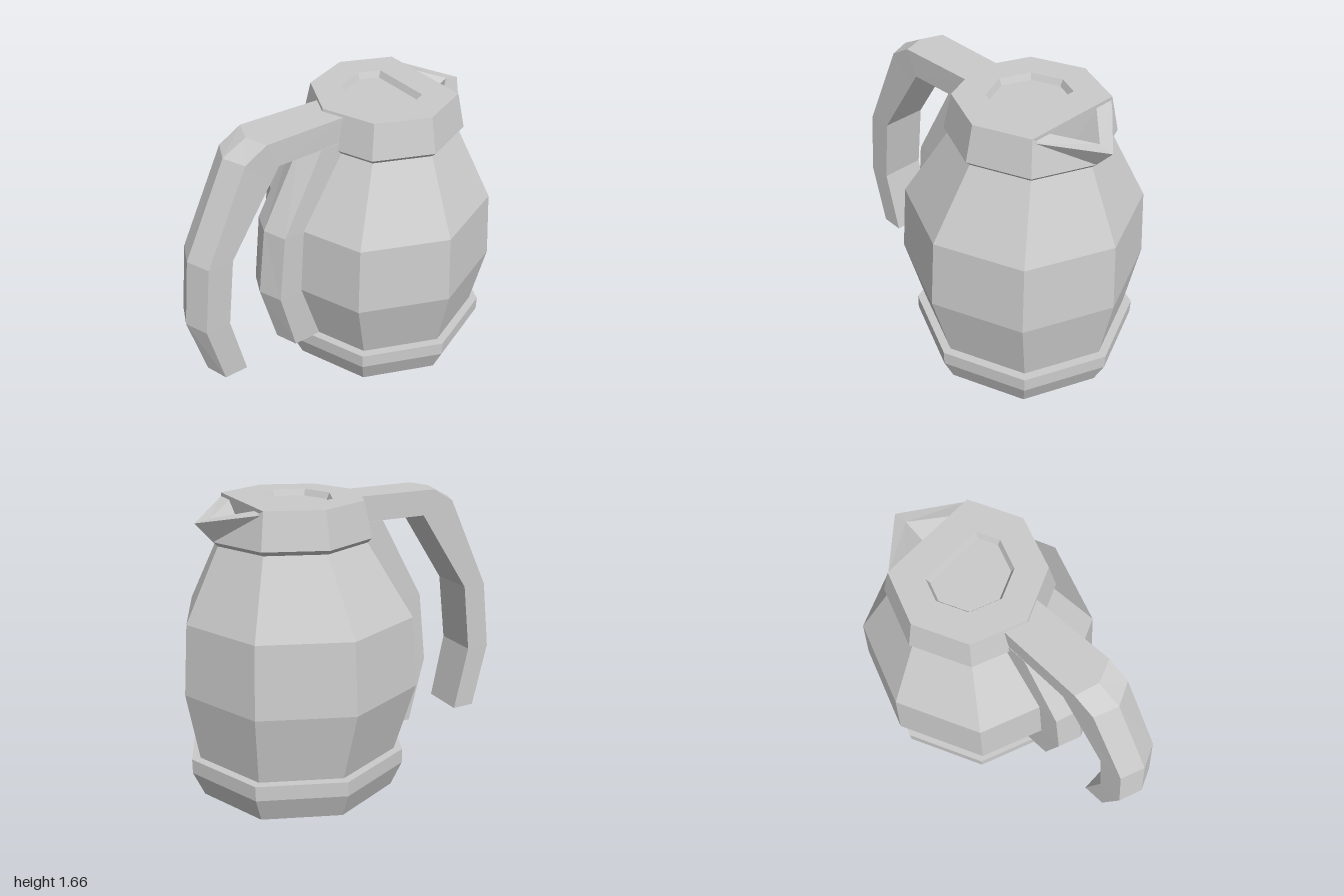
import * as THREE from 'three';

const material = new THREE.MeshStandardMaterial({ color: 0xcccccc, flatShading: true });

function makeMesh(name, geometry) {
  const mesh = new THREE.Mesh(geometry, material);
  mesh.name = name;
  return mesh;
}

// Geometry from a list of triangles, each made of three [x, y, z] corners
function fromTriangles(tris) {
  const g = new THREE.BufferGeometry();
  g.setAttribute('position', new THREE.Float32BufferAttribute(tris.flat(2), 3));
  g.computeVertexNormals();
  return g;
}

// Skin a row of closed rings; some sides may be skipped and ends capped
function loft(rings, { start = false, end = false, skip = [] } = {}) {
  const tris = [];
  const n = rings[0].length;
  for (let i = 0; i < rings.length - 1; i++) {
    const a = rings[i], b = rings[i + 1];
    for (let j = 0; j < n; j++) {
      if (skip.includes(j)) continue;
      const k = (j + 1) % n;
      tris.push([a[j], b[j], b[k]], [a[j], b[k], a[k]]);
    }
  }
  const last = rings[rings.length - 1];
  for (let j = 1; j < n - 1; j++) {
    if (start) tris.push([rings[0][0], rings[0][j], rings[0][j + 1]]);
    if (end) tris.push([last[0], last[j + 1], last[j]]);
  }
  return tris;
}

// Horizontal octagon with a corner pointing to +x
function octagon(cx, y, r) {
  return Array.from({ length: 8 }, (_, i) => {
    const a = (i * Math.PI) / 4;
    return [cx + r * Math.cos(a), y, r * Math.sin(a)];
  });
}

// Five-sided handle section: outer ridge, two shoulders, two inner corners
function gripSection([ridge, shoulder, inner, w]) {
  return [
    [...ridge, 0],
    [...shoulder, -w], [...inner, -w],
    [...inner, w], [...shoulder, w],
  ];
}

export function createModel() {
  const group = new THREE.Group();
  const CX = 0.335;

  // Base and body
  group.add(makeMesh('base', fromTriangles(loft([
    octagon(CX, 0, 0.58), octagon(CX, 0.15, 0.645),
    octagon(CX, 0.235, 0.645), octagon(CX, 0.235, 0.59),
  ], { start: true }))));
  group.add(makeMesh('body', fromTriangles(loft([
    octagon(CX, 0.235, 0.595), octagon(0.305, 0.63, 0.69),
    octagon(0.303, 1.03, 0.66), octagon(CX, 1.435, 0.43),
  ]))));

  // Lid wall, left open where the spout passes through
  const lidBottom = octagon(CX, 1.46, 0.455);
  const lidTop = octagon(CX, 1.66, 0.41);
  group.add(makeMesh('lid', fromTriangles([
    ...loft([octagon(CX, 1.435, 0.43), lidBottom]),
    ...loft([lidBottom, lidTop], { skip: [0, 7] }),
  ])));

  // Lid top with a sunken recess, flat on the spout side
  const recess = (y, r, clip) => {
    const ring = octagon(CX, y, r).slice(2, 7);
    const z = r - (clip - CX) * Math.tan(Math.PI / 8);
    return [[clip, y, z], ...ring, [clip, y, -z]];
  };
  const rim = recess(1.66, 0.235, 0.457);
  const flat = (ring) => ring.map(([x, , z]) => new THREE.Vector2(x, -z));
  const topShape = new THREE.Shape(flat(lidTop.slice(1)));
  topShape.holes.push(new THREE.Path(flat(rim)));
  const top = new THREE.ShapeGeometry(topShape);
  top.rotateX(-Math.PI / 2).translate(0, 1.66, 0);
  group.add(makeMesh('lidTop', top));
  group.add(makeMesh('lidRecess', fromTriangles(
    loft([rim, recess(1.625, 0.218, 0.44)], { end: true }))));

  // Spout: one half, then mirrored in z
  const X = lidTop[1][0];
  const corner = lidTop[1], low = lidBottom[0], lowSide = lidBottom[1];
  const edge = [X, 1.64, corner[2]], tip = [0.885, 1.57, 0];
  const innerEdge = [X, 1.64, 0.17], innerTip = [0.8, 1.587, 0];
  const floor = [X, 1.5, 0], backTop = [X, 1.66, 0];
  const half = [
    [low, corner, lowSide], [low, corner, edge], // lid wall below the spout
    [low, tip, edge], // outer side
    [edge, tip, innerTip], [edge, innerTip, innerEdge], // rim
    [innerEdge, innerTip, floor], // channel
    [floor, backTop, corner], [floor, corner, edge], // back wall
  ];
  const flip = ([x, y, z]) => [x, y, -z];
  const mirrored = half.map(([a, b, c]) => [flip(a), flip(c), flip(b)]);
  group.add(makeMesh('spout', fromTriangles([...half, ...mirrored])));

  // Handle: ridge, shoulder and inner points, then half width
  const handle = [
    [[-0.9, 0.23], [-0.855, 0.23], [-0.715, 0.23], 0.13],
    [[-1, 0.62], [-0.945, 0.62], [-0.8, 0.62], 0.135],
    [[-0.95, 1.03], [-0.895, 1.03], [-0.75, 1.03], 0.135],
    [[-0.69, 1.57], [-0.635, 1.57], [-0.49, 1.424], 0.13],
    [[-0.55, 1.645], [-0.505, 1.645], [-0.44, 1.5], 0.13],
    [[0, 1.645], [0, 1.645], [0, 1.5], 0.12],
  ];
  group.add(makeMesh('handle', fromTriangles(
    loft(handle.map(gripSection), { start: true, end: true }))));

  // Rib that backs the handle along the body
  const rib = [
    [[-0.425, 0.23], [-0.375, 0.23], [-0.1, 0.23], 0.13],
    [[-0.525, 0.62], [-0.47, 0.62], [-0.1, 0.62], 0.135],
    [[-0.475, 1.03], [-0.425, 1.03], [-0.1, 1.03], 0.135],
    [[-0.225, 1.5], [-0.17, 1.5], [0, 1.5], 0.125],
  ];
  group.add(makeMesh('handleRib', fromTriangles(
    loft(rib.map(gripSection), { start: true, end: true }))));

  return group;
}
